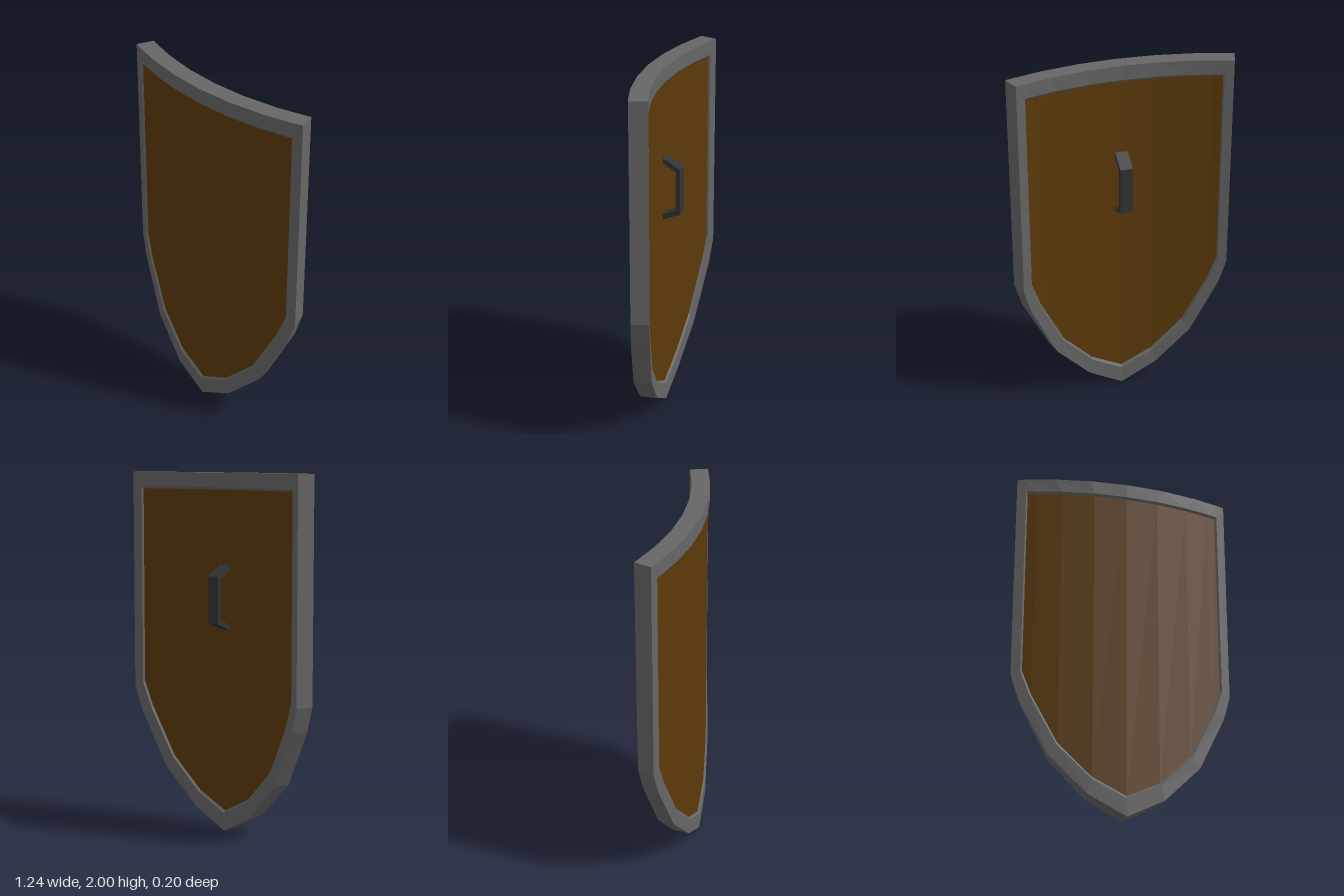
import * as THREE from 'three';

// The shield is bent around a vertical axis behind it
const BACK = 1.76, FRONT = 1.86, CENTRE_Z = -1.76, LIP = 0.01;

const bend = ([angle, y], r) => [r * Math.sin(angle), y, CENTRE_Z + r * Math.cos(angle)];

// Closed outline: lower edge from -x to +x, then the top edge back again
function outline(half, top) {
  const left = half.slice(1).reverse().map(([a, y]) => [-a, y]);
  const lower = [...left, ...half];
  const upper = lower.map(([a]) => [a, top]).reverse();
  return [...lower, ...upper];
}

function quadGeometry(quads) {
  const pos = [];
  for (const [a, b, c, d] of quads) pos.push(...a, ...b, ...c, ...a, ...c, ...d);
  const geo = new THREE.BufferGeometry();
  geo.setAttribute('position', new THREE.Float32BufferAttribute(pos, 3));
  geo.computeVertexNormals();
  return geo;
}

function part(name, geometry, color) {
  const mesh = new THREE.Mesh(geometry, new THREE.MeshStandardMaterial({ color, flatShading: true }));
  mesh.name = name;
  return mesh;
}

export function createModel() {
  const group = new THREE.Group();
  group.name = 'shield';

  // [angle, height] from the tip to the side
  const outer = outline([[0, 0], [0.113, 0.11], [0.227, 0.32], [0.316, 0.64], [0.34, 0.78]], 2);
  const inner = outline([[0, 0.1], [0.102, 0.195], [0.203, 0.38], [0.283, 0.66], [0.3115, 0.8]], 1.92);
  const lip = inner.map(([a, y], i) => [a + (a - outer[i][0]) * 0.15, y + (y - outer[i][1]) * 0.15]);

  // Metal rim with a small bevel towards the panel
  const rings = [
    [outer, FRONT], [outer, BACK], [inner, BACK],
    [lip, BACK + LIP], [lip, FRONT - LIP], [inner, FRONT],
  ].map(([line, r]) => line.map((p) => bend(p, r)));
  const rimQuads = [];
  rings.forEach((ring, j) => {
    const next = rings[(j + 1) % rings.length];
    ring.forEach((p, i) => {
      const k = (i + 1) % ring.length;
      rimQuads.push([p, next[i], next[k], ring[k]]);
    });
  });
  group.add(part('rim', quadGeometry(rimQuads), 0x666666));

  // Wooden panel, front and back, in upright strips
  const panelQuads = [];
  const n = lip.length;
  for (const r of [FRONT - LIP, BACK + LIP]) {
    for (let i = 0; i < n / 2 - 1; i++) {
      const quad = [lip[i], lip[i + 1], lip[n - 2 - i], lip[n - 1 - i]].map((p) => bend(p, r));
      panelQuads.push(r > 1.8 ? quad : quad.reverse());
    }
  }
  group.add(part('panel', quadGeometry(panelQuads), 0x5c3a0a));

  // Grip on the back: a bar on two slanted legs
  const grip = new THREE.Shape([
    [-0.01, 1.14], [0.09, 1.18], [0.09, 1.44], [-0.01, 1.5],
    [-0.01, 1.47], [0.065, 1.425], [0.065, 1.2], [-0.01, 1.17],
  ].map(([x, y]) => new THREE.Vector2(x, y)));
  const gripGeo = new THREE.ExtrudeGeometry(grip, { depth: 0.07, bevelEnabled: false });
  gripGeo.rotateY(Math.PI / 2).translate(-0.035, 0, 0);
  group.add(part('grip', gripGeo, 0x333333));

  return group;
}
